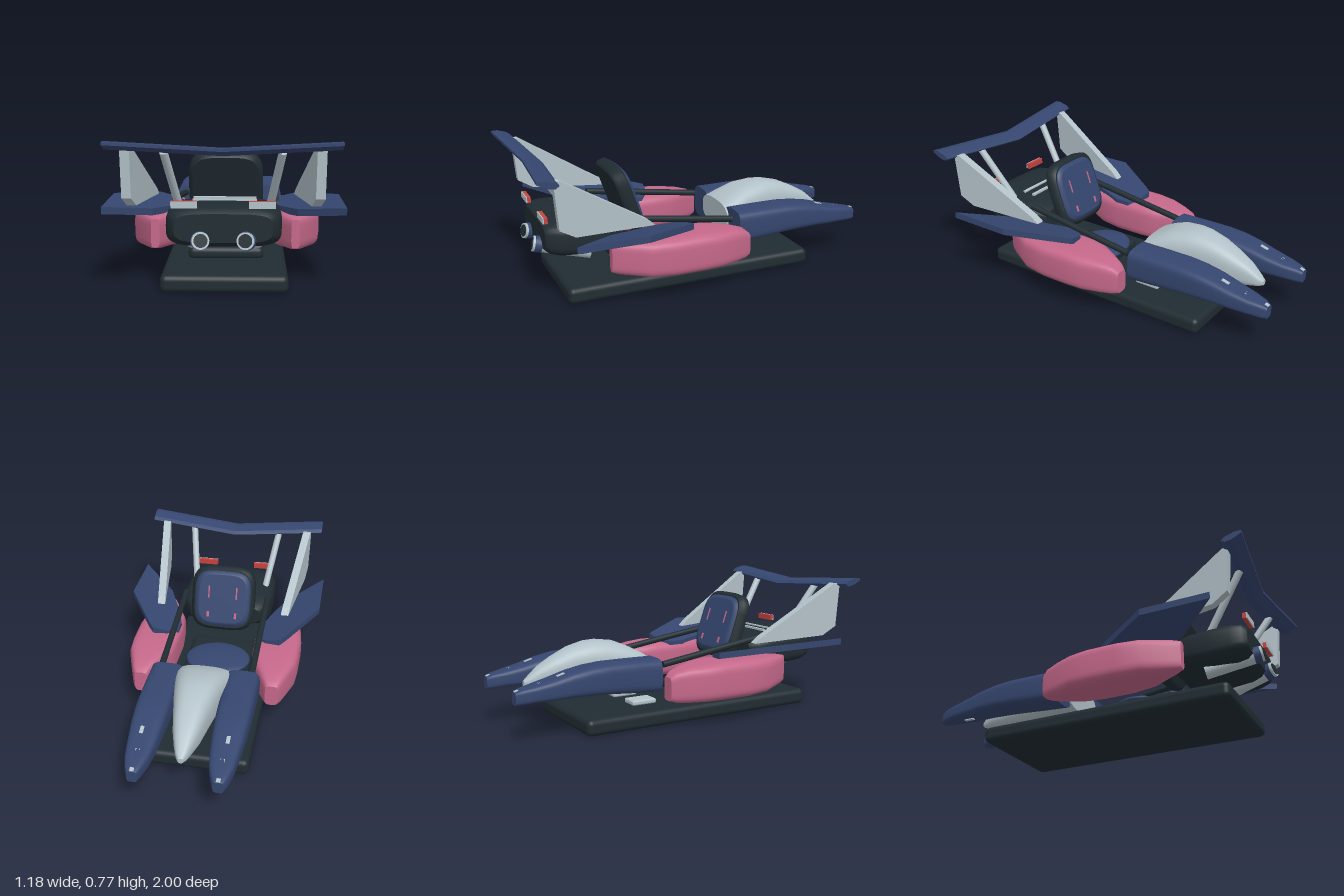
import * as THREE from 'three';
import { RoundedBoxGeometry } from 'three/addons/geometries/RoundedBoxGeometry.js';

const mat = (name, color) => {
  const m = new THREE.MeshStandardMaterial({ color });
  m.name = name;
  return m;
};

// Closed hull along z; each section is [z, centreX, centreY, halfWidth, halfHeight]
function loft(sections, power = 4, n = 40) {
  const pos = [], idx = [];
  const ring = ([z, cx, cy, hw, hh]) => {
    for (let j = 0; j < n; j++) {
      const t = (j / n) * Math.PI * 2, c = Math.cos(t), s = Math.sin(t);
      pos.push(cx + hw * Math.sign(c) * Math.abs(c) ** (2 / power),
        cy + hh * Math.sign(s) * Math.abs(s) ** (2 / power), z);
    }
  };
  sections.forEach(ring);
  for (let i = 0; i < sections.length - 1; i++) {
    for (let j = 0; j < n; j++) {
      const k = (j + 1) % n, a = i * n, b = a + n;
      idx.push(a + j, a + k, b + k, a + j, b + k, b + j);
    }
  }
  // Flat end caps
  [sections[0], sections[sections.length - 1]].forEach((s, e) => {
    const start = pos.length / 3;
    ring(s);
    pos.push(s[1], s[2], s[0]);
    for (let j = 0; j < n; j++) {
      const a = start + j, b = start + (j + 1) % n;
      idx.push(start + n, e ? a : b, e ? b : a);
    }
  });
  const g = new THREE.BufferGeometry();
  g.setAttribute('position', new THREE.Float32BufferAttribute(pos, 3));
  g.setIndex(idx);
  g.computeVertexNormals();
  return g;
}

// Moves every vertex by a rule
function warp(g, rule) {
  const p = g.attributes.position, v = new THREE.Vector3();
  for (let i = 0; i < p.count; i++) {
    v.fromBufferAttribute(p, i);
    rule(v);
    p.setXYZ(i, v.x, v.y, v.z);
  }
  g.computeVertexNormals();
  return g;
}

const extrude = (pts, depth, steps = 1) => new THREE.ExtrudeGeometry(
  new THREE.Shape(pts.map(([x, y]) => new THREE.Vector2(x, y))),
  { depth, steps, bevelEnabled: false });

// Side profile in (z, y), extruded across x and centred
const acrossX = (pts, width, steps) =>
  extrude(pts, width, steps).rotateY(-Math.PI / 2).translate(width / 2, 0, 0);

// Cylinder between two points
function rod(a, b, r) {
  const A = new THREE.Vector3(...a), B = new THREE.Vector3(...b), d = B.clone().sub(A);
  const g = new THREE.CylinderGeometry(r, r, d.length(), 24);
  g.applyQuaternion(new THREE.Quaternion().setFromUnitVectors(new THREE.Vector3(0, 1, 0), d.normalize()));
  return g.translate(...A.add(B).multiplyScalar(0.5).toArray());
}

export function createModel() {
  const root = new THREE.Group();
  root.name = 'hoverRacer';
  const dark = mat('charcoal', 0x202c32), navy = mat('navy', 0x35466f);
  const pale = mat('paleGrey', 0xb3c2c9), pink = mat('pink', 0xc5688a), red = mat('red', 0xc8443f);
  const add = (name, g, m, parent = root) => {
    const mesh = new THREE.Mesh(g, m);
    mesh.name = name;
    parent.add(mesh);
    return mesh;
  };
  const box = (name, w, h, d, x, y, z, m, parent) =>
    add(name, new THREE.BoxGeometry(w, h, d).translate(x, y, z), m, parent);

  // Base and seat
  add('base', new RoundedBoxGeometry(0.635, 0.09, 1.45, 4, 0.03).translate(0, 0.045, 0.085), dark);
  add('seatPlinth', new RoundedBoxGeometry(0.4, 0.07, 0.38, 4, 0.03).translate(0, 0.115, 0.28), dark);
  add('seatCushion', new THREE.SphereGeometry(1, 40, 20).scale(0.197, 0.035, 0.165).translate(0, 0.15, 0.225), navy);

  const back = new THREE.Group();
  back.name = 'seatBack';
  back.position.set(0, 0.475, 0.415);
  back.rotation.x = 0.33;
  root.add(back);
  add('seatShell', loft([
    [-0.037, 0, 0, 0.175, 0.18], [-0.02, 0, 0, 0.195, 0.198],
    [0.02, 0, 0, 0.195, 0.198], [0.037, 0, 0, 0.175, 0.18]]), dark, back);
  add('seatPad', loft([
    [-0.055, 0, 0, 0.145, 0.15], [-0.047, 0, 0, 0.165, 0.168], [-0.03, 0, 0, 0.17, 0.173]]), navy, back);
  for (const s of [1, -1]) {
    box('upperHarness', 0.008, 0.075, 0.006, s * 0.085, 0.04, -0.056, pink, back);
    box('lowerHarness', 0.014, 0.035, 0.006, s * 0.085, -0.1, -0.056, pink, back);
  }

  // Engine cover with vent slats
  add('engineCover', loft([
    [0.46, 0, 0.335, 0.22, 0.06], [0.5, 0, 0.335, 0.26, 0.085], [0.58, 0, 0.338, 0.28, 0.1],
    [0.7, 0, 0.34, 0.285, 0.105], [0.82, 0, 0.345, 0.28, 0.102], [0.875, 0, 0.35, 0.262, 0.092],
    [0.9, 0, 0.35, 0.235, 0.07]], 4), dark);
  for (const z of [0.61, 0.68]) box('ventSlat', 0.32, 0.012, 0.018, 0, 0.444, z, pale);

  // Central nose cowl
  add('noseCowl', loft([
    [-0.865, 0, 0.255, 0.014, 0.015], [-0.84, 0, 0.26, 0.03, 0.03], [-0.78, 0, 0.28, 0.052, 0.06],
    [-0.7, 0, 0.295, 0.075, 0.09], [-0.6, 0, 0.315, 0.095, 0.115], [-0.5, 0, 0.325, 0.115, 0.128],
    [-0.43, 0, 0.325, 0.128, 0.13], [-0.33, 0, 0.318, 0.145, 0.122], [-0.25, 0, 0.303, 0.158, 0.103],
    [-0.18, 0, 0.285, 0.168, 0.083]], 2.8), pale);

  // V-shaped rear wing
  const foil = [[0.055, 0.022], [0.02, 0.024], [-0.035, 0.008], [-0.055, -0.008],
    [-0.035, -0.022], [0.0, -0.018], [0.055, 0.008]];
  add('rearWing', warp(acrossX(foil, 1.1, 2), (v) => {
    v.y += 0.712 + Math.abs(v.x) * 0.066;
    v.z += 0.89 + Math.abs(v.x) * 0.1;
  }), navy);

  for (const s of [1, -1]) {
    const side = new THREE.Group();
    side.name = s > 0 ? 'leftSide' : 'rightSide';
    root.add(side);

    // Front prong with trim
    add('frontProng', loft([
      [-1, 0.217, 0.235, 0.028, 0.033], [-0.97, 0.217, 0.242, 0.043, 0.04], [-0.9, 0.216, 0.252, 0.063, 0.044],
      [-0.8, 0.215, 0.263, 0.076, 0.055], [-0.7, 0.216, 0.278, 0.085, 0.067], [-0.6, 0.217, 0.286, 0.091, 0.077],
      [-0.5, 0.217, 0.288, 0.094, 0.083], [-0.35, 0.217, 0.282, 0.095, 0.089], [-0.19, 0.217, 0.276, 0.095, 0.093],
    ].map(([z, x, ...r]) => [z, s * x, ...r]), 4), navy, side);
    add('prongTrim', new THREE.BoxGeometry(0.022, 0.008, 0.14).rotateX(-0.22)
      .translate(s * 0.217, 0.285, -0.93), pale, side);
    add('prongMark', new THREE.BoxGeometry(0.02, 0.008, 0.045).rotateX(-0.28)
      .translate(s * 0.225, 0.331, -0.75), pale, side);
    box('prongSkid', 0.02, 0.008, 0.06, s * 0.217, 0.206, -0.82, pale, side);
    add('pedal', new RoundedBoxGeometry(0.105, 0.028, 0.15, 3, 0.01).translate(s * 0.115, 0.106, -0.22), pale, side);

    // Side pod
    add('sidePod', loft([
      [-0.2, 0.38, 0.222, 0.037, 0.064], [-0.17, 0.38, 0.23, 0.055, 0.082], [-0.1, 0.375, 0.235, 0.085, 0.095],
      [0, 0.367, 0.24, 0.128, 0.102], [0.1, 0.365, 0.243, 0.138, 0.107], [0.27, 0.365, 0.243, 0.14, 0.106],
      [0.4, 0.365, 0.245, 0.125, 0.1], [0.55, 0.362, 0.25, 0.045, 0.086], [0.59, 0.36, 0.252, 0.022, 0.076],
    ].map(([z, x, ...r]) => [z, s * x, ...r]), 4.5), pink, side);

    // Raised side fin
    const plan = [[0.24, 0.19], [0.3, 0.14], [0.385, 0.13], [0.415, 0.17], [0.59, 0.455],
      [0.59, 0.83], [0.37, 0.6], [0.29, 0.42], [0.24, 0.28]].map(([x, z]) => [s * x, z]);
    add('sideFin', warp(extrude(plan, 0.036).rotateX(Math.PI / 2), (v) => {
      v.y += 0.368 + (Math.abs(v.x) - 0.3) * 0.24;
    }), navy, side);

    // Cockpit rail
    add('cockpitRail', rod([s * 0.26, 0.33, -0.16], [s * 0.26, 0.43, 0.53], 0.018), dark, side);

    // Wing supports
    add('wingPlate', warp(acrossX([[0.36, 0.42], [0.4, 0.455], [0.87, 0.74], [0.905, 0.74], [0.885, 0.49], [0.8, 0.44]], 0.046), (v) => {
      v.x += s * (0.385 + (v.z - 0.36) * 0.14);
    }), pale, side);
    add('wingStrut', rod([s * 0.225, 0.42, 0.7], [s * 0.278, 0.715, 0.9], 0.02), pale, side);

    // Tail lamp
    box('tailLamp', 0.125, 0.032, 0.02, s * 0.185, 0.465, 0.895, red, side);
    box('tailLampCover', 0.125, 0.032, 0.006, s * 0.185, 0.465, 0.908, pale, side);

    // Exhaust running inwards and up to the outlet
    const at = (t) => [s * (0.16 - 0.055 * t), 0.232 + 0.068 * t, 0.64 + 0.3 * t];
    add('exhaustPipe', rod(at(0), at(1), 0.042), pale, side);
    add('exhaustBand', rod(at(0.84), at(0.96), 0.045), navy, side);
    add('exhaustOutlet', rod(at(0.99), at(1.012), 0.033), dark, side);
  }
  return root;
}
